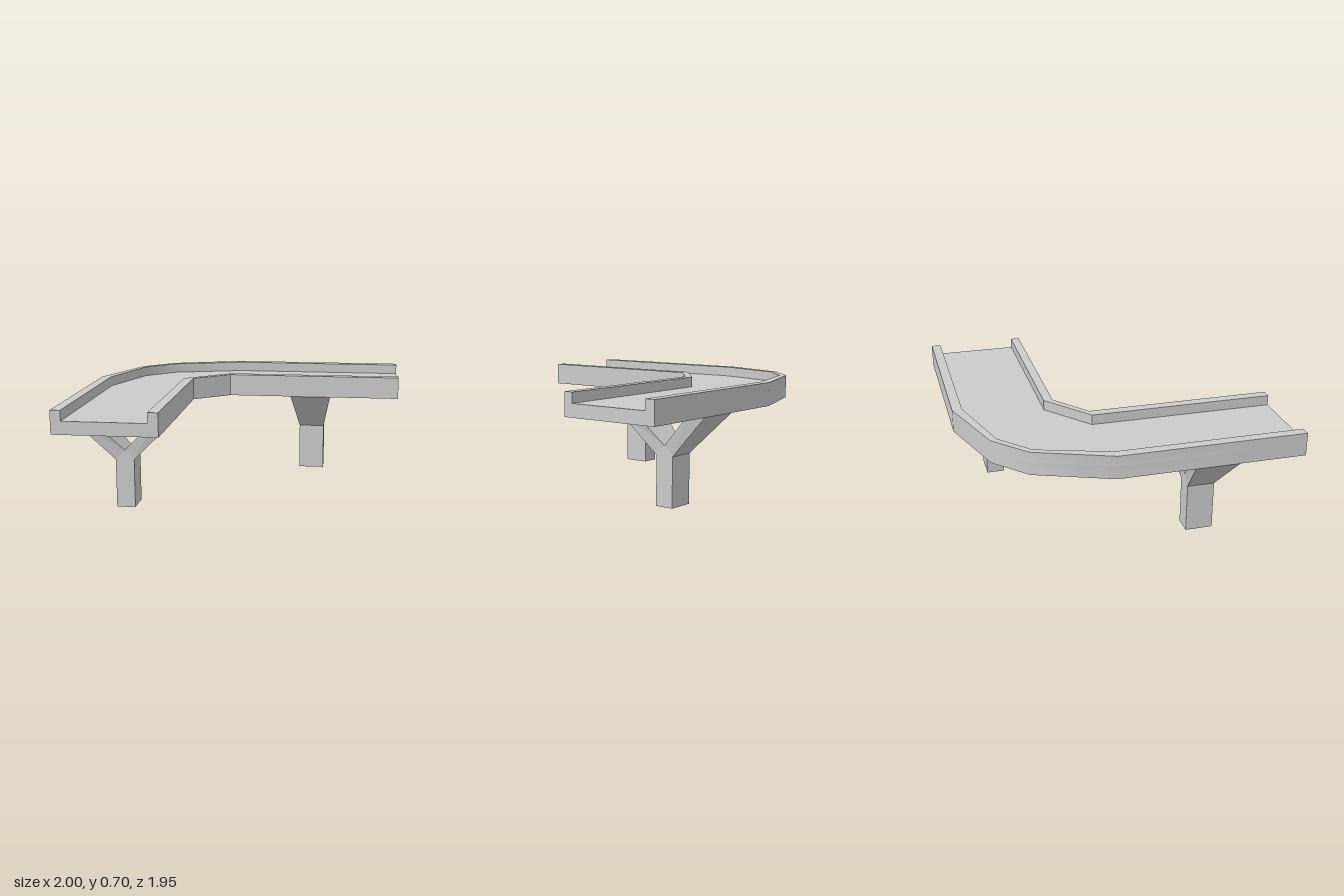
import * as THREE from 'three';
import { toCreasedNormals } from 'three/addons/utils/BufferGeometryUtils.js';

const BASE = 0.56, DECK = 0.64, TOP = 0.703; // heights of underside, road surface, kerb top

// Plan lines of the bend as [x, z], from the front end round to the right-hand end
const outerEdge = [[-1, 0.975], [-1, -0.17], [-0.825, -0.63], [-0.623, -0.818], [-0.147, -0.975], [1, -0.975]];
const outerLip = [[-0.938, 0.975], [-0.938, -0.17], [-0.797, -0.605], [-0.607, -0.779], [-0.147, -0.914], [1, -0.914]];
const innerLip = [[-0.435, 0.975], [-0.435, -0.17], [-0.147, -0.406], [1, -0.406]];
const innerEdge = [[-0.373, 0.975], [-0.373, -0.17], [-0.147, -0.35], [1, -0.35]];

const material = new THREE.MeshStandardMaterial({ color: 0xcccccc });

function makeMesh(name, geometry) {
  const mesh = new THREE.Mesh(geometry, material);
  mesh.name = name;
  return mesh;
}

function extrude(points, depth) {
  const shape = new THREE.Shape(points.map(([x, y]) => new THREE.Vector2(x, y)));
  return new THREE.ExtrudeGeometry(shape, { depth, bevelEnabled: false });
}

// Solid band between two plan lines, from height y0 to y1; gentle bends are smooth
function band(name, lineA, lineB, y0, y1) {
  const outline = [...lineA, ...[...lineB].reverse()].map(([x, z]) => [x, -z]);
  const geometry = extrude(outline, y1 - y0).rotateX(-Math.PI / 2).translate(0, y0, 0);
  return makeMesh(name, toCreasedNormals(geometry, Math.PI / 6));
}

// Y-shaped pier: post with pointed top and two arms that widen towards the deck
function makePier(name) {
  const pier = new THREE.Group();
  pier.name = name;
  const halfPost = 0.058, halfDepth = 0.085, flare = 0.135 / halfDepth;
  const shoulder = 0.305, fork = 0.365;

  const post = extrude([[-halfPost, 0], [halfPost, 0], [halfPost, shoulder], [0, fork], [-halfPost, shoulder]], 2 * halfDepth);
  pier.add(makeMesh('post', post.translate(0, 0, -halfDepth)));

  for (const side of [-1, 1]) {
    const profile = [[halfPost, shoulder], [0.314, BASE], [0.195, BASE], [0, fork]];
    const arm = extrude(profile.map(([x, y]) => [side * x, y]), 2 * halfDepth).translate(0, 0, -halfDepth);
    const p = arm.attributes.position;
    for (let i = 0; i < p.count; i++) {
      if (p.getY(i) > 0.5) p.setZ(i, p.getZ(i) * flare);
    }
    arm.computeVertexNormals();
    pier.add(makeMesh(side < 0 ? 'rightArm' : 'leftArm', arm));
  }
  return pier;
}

export function createModel() {
  const model = new THREE.Group();
  model.name = 'raisedRoadBend';

  // Deck slab and the kerbs along both sides
  model.add(
    band('deck', outerEdge, innerEdge, BASE, DECK),
    band('outerKerb', outerEdge, outerLip, DECK, TOP),
    band('innerKerb', innerLip, innerEdge, DECK, TOP)
  );

  // One pier under each straight, arms spanning the width of the road
  const frontPier = makePier('frontPier');
  frontPier.position.set(-0.686, 0, 0.43);
  const backPier = makePier('backPier');
  backPier.position.set(0.405, 0, -0.661);
  backPier.rotation.y = Math.PI / 2;
  model.add(frontPier, backPier);

  return model;
}
